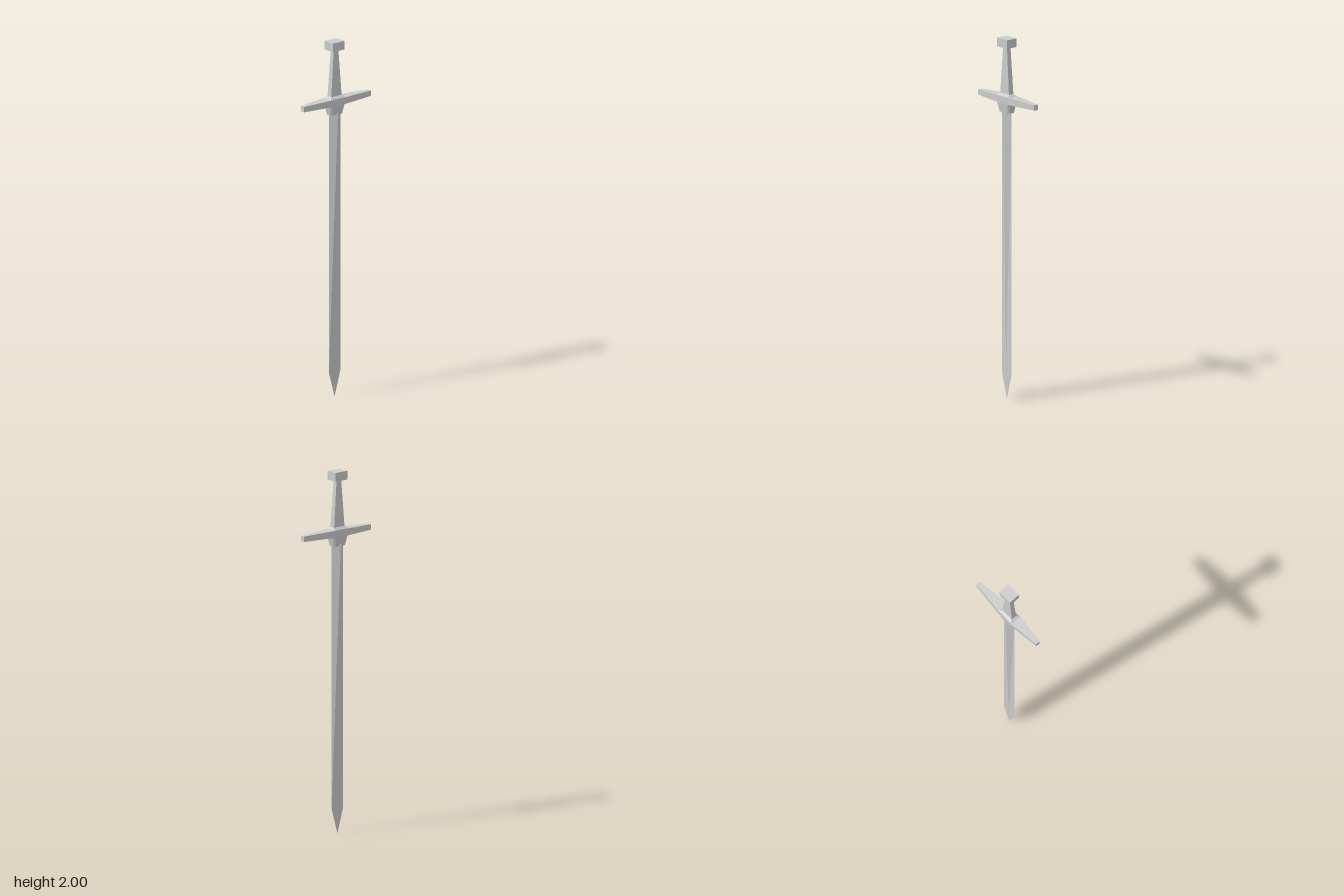
import * as THREE from 'three';

const CX = -0.01; // centre line of blade and grip

// Cross-sections, counter-clockwise seen from +y, as [x, z] half sizes
const diamond = (w, d) => [[w, 0], [0, -d], [-w, 0], [0, d]];
const rect = (w, d) => [[w, d], [w, -d], [-w, -d], [-w, d]];
const chamfered = (w, d, c) => [
  [w, d - c], [w, -d + c], [w - c, -d], [-w + c, -d],
  [-w, -d + c], [-w, d - c], [-w + c, d], [w - c, d],
];

// Skin a stack of sections { y, ring, x } from low to high y, with caps
function loft(sections) {
  const n = sections[0].ring.length;
  const pos = [];
  const idx = [];
  for (const { y, ring, x = 0 } of sections) {
    for (const [px, pz] of ring) pos.push(px + x, y, pz);
  }
  for (let s = 0; s < sections.length - 1; s++) {
    for (let j = 0; j < n; j++) {
      const a = s * n + j;
      const b = s * n + (j + 1) % n;
      idx.push(a, b, b + n, a, b + n, a + n);
    }
  }
  const top = (sections.length - 1) * n;
  for (let j = 1; j < n - 1; j++) {
    idx.push(0, j + 1, j, top, top + j, top + j + 1);
  }
  const geo = new THREE.BufferGeometry();
  geo.setAttribute('position', new THREE.Float32BufferAttribute(pos, 3));
  geo.setIndex(idx);
  const flat = geo.toNonIndexed();
  flat.computeVertexNormals();
  return flat;
}

export function createModel() {
  const group = new THREE.Group();
  const mat = new THREE.MeshStandardMaterial({ color: 0xcccccc, flatShading: true });
  const add = (name, geo, x = CX, y = 0) => {
    const mesh = new THREE.Mesh(geo, mat);
    mesh.name = name;
    mesh.position.set(x, y, 0);
    group.add(mesh);
  };

  // Ridged blade, thinning towards its point
  add('blade', loft([
    { y: 0, ring: diamond(0.0005, 0.0005) },
    { y: 0.137, ring: diamond(0.04, 0.004) },
    { y: 1.6, ring: diamond(0.04, 0.029) },
  ]));

  // Collar gripping the top of the blade
  add('collar', loft([
    { y: 1.59, ring: chamfered(0.042, 0.024, 0.01) },
    { y: 1.645, ring: chamfered(0.053, 0.032, 0.01) },
  ]));

  // Cross guard, lofted along its length and laid over onto x
  const guard = loft([
    { y: -0.235, ring: rect(0.015, 0.013), x: -1.66 },
    { y: -0.067, ring: rect(0.019, 0.032), x: -1.662 },
    { y: 0.047, ring: rect(0.019, 0.032), x: -1.662 },
    { y: 0.235, ring: rect(0.015, 0.013), x: -1.66 },
  ]);
  guard.rotateZ(-Math.PI / 2);
  add('crossGuard', guard, 0);

  // Sloped shoulder between guard and grip
  add('shoulder', loft([
    { y: 1.675, ring: rect(0.054, 0.031) },
    { y: 1.682, ring: rect(0.05, 0.029) },
    { y: 1.694, ring: rect(0.036, 0.016) },
  ]));

  // Grip, narrowing upwards
  add('grip', loft([
    { y: 1.685, ring: rect(0.037, 0.016) },
    { y: 1.955, ring: rect(0.016, 0.012) },
  ]));

  // Block pommel
  add('pommel', new THREE.BoxGeometry(0.082, 0.048, 0.068), CX, 1.976);

  return group;
}
